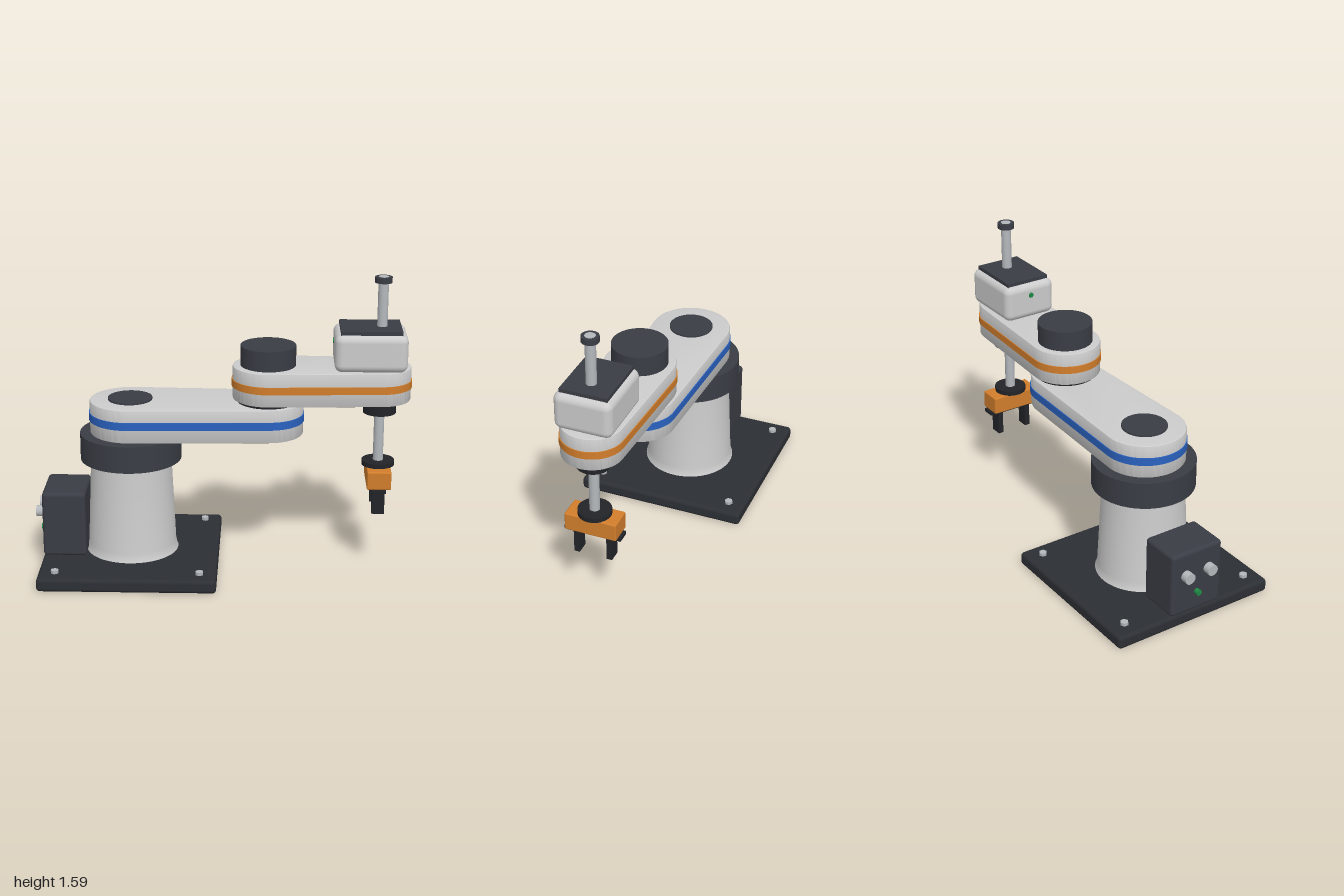
import * as THREE from 'three';
import { toCreasedNormals } from 'three/addons/utils/BufferGeometryUtils.js';
import { RoundedBoxGeometry } from 'three/addons/geometries/RoundedBoxGeometry.js';

const mat = (color) => new THREE.MeshStandardMaterial({ color });
const LIGHT = mat(0xcccccc);
const METAL = mat(0xb4b8bc);
const DARK = mat(0x3a3d45);
const PLATE = mat(0x2c2f34);
const BLACK = mat(0x222428);
const BLUE = mat(0x2a62c0);
const ORANGE = mat(0xd27e2c);
const GREEN = mat(0x1f8a45);

// Vertical joint axes along x
const BASE_X = -0.49, ELBOW_X = 0.24, TOOL_X = 0.83;

export function createModel() {
  const model = new THREE.Group();

  function add(name, geometry, material, x = 0, y = 0, z = 0) {
    const mesh = new THREE.Mesh(geometry, material);
    mesh.name = name;
    mesh.position.set(x, y, z);
    model.add(mesh);
    return mesh;
  }

  // Upright cylinder between two heights
  function disc(name, material, x, y0, y1, r, z = 0, sides = 48) {
    return add(name, new THREE.CylinderGeometry(r, r, y1 - y0, sides), material, x, (y0 + y1) / 2, z);
  }

  // Box between two corners, rounded when a radius is given
  function block(name, material, [x0, x1], [y0, y1], [z0, z1], radius = 0) {
    const s = [x1 - x0, y1 - y0, z1 - z0];
    const geometry = radius ? new RoundedBoxGeometry(...s, 4, radius) : new THREE.BoxGeometry(...s);
    return add(name, geometry, material, (x0 + x1) / 2, (y0 + y1) / 2, (z0 + z1) / 2);
  }

  // Tapered link: the outline wrapped around two circles, extruded upward
  function link(name, material, xa, ra, xb, rb, y0, y1, bevel) {
    const a = Math.acos((ra - rb) / (xb - xa));
    const shape = new THREE.Shape();
    shape.absarc(xa, 0, ra - bevel, a, Math.PI * 2 - a, false);
    shape.absarc(xb, 0, rb - bevel, -a, a, false);
    shape.closePath();
    const geometry = new THREE.ExtrudeGeometry(shape, {
      depth: y1 - y0 - 2 * bevel, curveSegments: 32,
      bevelEnabled: bevel > 0, bevelThickness: bevel, bevelSize: bevel, bevelSegments: 2,
    });
    geometry.rotateX(-Math.PI / 2);
    return add(name, toCreasedNormals(geometry, 0.5), material, 0, y0 + bevel, 0);
  }

  // Base plate with hex bolts
  block('basePlate', PLATE, [-0.96, -0.02], [0, 0.073], [-0.47, 0.47], 0.02);
  for (const x of [-0.38, 0.38])
    for (const z of [-0.38, 0.38]) disc('baseBolt', METAL, BASE_X + x, 0.065, 0.09, 0.022, z, 6);

  // Pedestal with a flared foot, and the shoulder collar
  const profile = [[0, 0.07], [0.25, 0.07], [0.243, 0.085], [0.237, 0.12], [0.215, 0.6], [0, 0.6]]
    .map(([r, y]) => new THREE.Vector2(r, y));
  add('pedestal', toCreasedNormals(new THREE.LatheGeometry(profile, 64), 0.6), LIGHT, BASE_X);
  disc('shoulderCollar', DARK, BASE_X, 0.59, 0.735, 0.27, 0, 64);

  // Control box with rear connectors and status light
  block('controlBox', DARK, [-0.96, -0.727], [0.07, 0.43], [-0.155, 0.155], 0.02);
  for (const z of [-0.07, 0.07])
    disc('connector', METAL, -0.978, 0.275, 0.319, 0.03, z, 24).rotation.z = Math.PI / 2;
  for (const m of model.children.filter((c) => c.name === 'connector')) m.position.y = 0.297;
  disc('statusLight', GREEN, -0.97, 0.165, 0.195, 0.016, 0, 16).rotation.z = Math.PI / 2;

  // Lower arm
  link('lowerArm', LIGHT, BASE_X, 0.215, ELBOW_X, 0.188, 0.735, 0.915, 0.008);
  link('lowerArmStripe', BLUE, BASE_X, 0.22, ELBOW_X, 0.193, 0.808, 0.85, 0);
  disc('shoulderCap', DARK, BASE_X, 0.91, 0.924, 0.118);
  disc('elbowSpacer', BLACK, ELBOW_X, 0.91, 0.935, 0.165);

  // Upper arm
  link('upperArm', LIGHT, ELBOW_X, 0.187, TOOL_X, 0.16, 0.93, 1.11, 0.008);
  link('upperArmStripe', ORANGE, ELBOW_X, 0.192, TOOL_X, 0.165, 1.0, 1.04, 0);
  disc('elbowMotor', DARK, ELBOW_X, 1.1, 1.218, 0.146);

  // Tool head housing
  block('headHousing', LIGHT, [0.582, 0.96], [1.107, 1.307], [-0.152, 0.152], 0.04);
  block('headCover', DARK, [0.612, 0.93], [1.3, 1.325], [-0.125, 0.125]);
  disc('headLight', GREEN, 0.582, 1.238, 1.25, 0.014, 0, 16).rotation.z = Math.PI / 2;

  // Sliding spindle
  disc('spindle', METAL, TOOL_X, 0.57, 1.588, 0.027, 0, 32);
  disc('spindleCap', DARK, TOOL_X, 1.556, 1.586, 0.045, 0, 32);
  disc('spindleNut', BLACK, TOOL_X, 0.855, 0.935, 0.087);

  // Gripper
  disc('toolFlange', BLACK, TOOL_X, 0.562, 0.588, 0.087);
  block('gripperBody', ORANGE, [0.767, 0.895], [0.463, 0.563], [-0.14, 0.14], 0.008);
  block('gripperRail', BLACK, [0.795, 0.867], [0.447, 0.465], [-0.153, 0.153]);
  for (const z of [-0.089, 0.089])
    block('gripperFinger', BLACK, [0.797, 0.865], [0.315, 0.45], [z - 0.015, z + 0.015]);

  return model;
}
